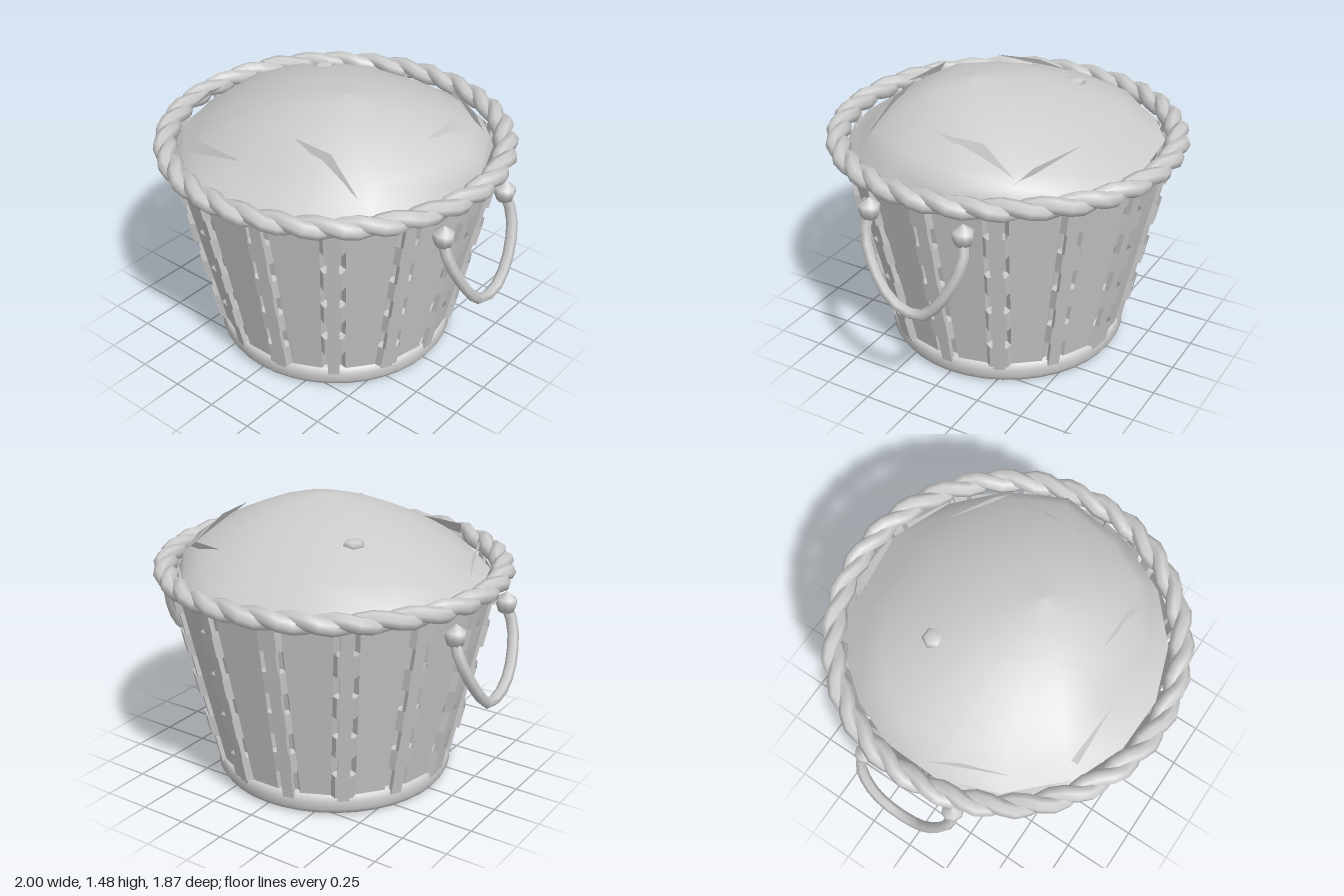
import * as THREE from 'three';

const V = (x, y, z) => new THREE.Vector3(x, y, z);
const STAKES = 14, ROWS = 8, ROW_BOTTOM = 0.14, ROW_HEIGHT = 0.12;
// Radius of the flaring basket wall at a given height
const wallRadius = y => 0.622 + 0.215 * (y - 0.1);

// Surface through closed loops of points, listed from the top (or centre) outward and down
function loft(loops, flat) {
  const n = loops[0].length, index = [];
  for (let j = 0; j < loops.length - 1; j++) {
    for (let i = 0; i < n; i++) {
      const a = j * n + i, b = j * n + (i + 1) % n;
      index.push(a, b, a + n, b, b + n, a + n);
    }
  }
  let g = new THREE.BufferGeometry().setFromPoints(loops.flat());
  g.setIndex(index);
  if (flat) g = g.toNonIndexed();
  g.computeVertexNormals();
  return g;
}

// One strand of the twisted rim
class Strand extends THREE.Curve {
  constructor(phase) { super(); this.phase = phase; }
  getPoint(t, target = V(0, 0, 0)) {
    const a = t * Math.PI * 2, w = a * 15 + this.phase;
    const r = 0.873 + 0.025 * Math.cos(w);
    return target.set(r * Math.cos(a), 1.155 + 0.016 * Math.sin(w), r * Math.sin(a));
  }
}

export function createModel() {
  const model = new THREE.Group();
  model.name = 'basket';
  const grey = new THREE.MeshStandardMaterial({ color: 0xcccccc, side: THREE.DoubleSide });
  grey.name = 'plain grey';
  const add = (name, geometry, parent = model) => {
    const mesh = new THREE.Mesh(geometry, grey);
    mesh.name = name;
    parent.add(mesh);
    return mesh;
  };

  // Rounded foot with a flat underside and a floor
  const foot = [[0.595, 0], [0.62, 0.012], [0.637, 0.04], [0.636, 0.08], [0.628, 0.115], [0.58, 0.122]];
  add('footRing', new THREE.LatheGeometry(foot.map(p => new THREE.Vector2(...p)), 40));
  add('underside', new THREE.CircleGeometry(0.595, 40)).rotation.x = Math.PI / 2;
  const floor = add('floor', new THREE.CircleGeometry(0.6, 40));
  floor.rotation.x = -Math.PI / 2;
  floor.position.y = 0.12;

  // Upright stakes, leaning outward
  const y0 = 0.09, y1 = 1.14;
  const lean = Math.atan2(wallRadius(y1) - wallRadius(y0), y1 - y0);
  for (let k = 0; k < STAKES; k++) {
    const holder = new THREE.Group();
    holder.name = 'stakeHolder';
    holder.rotation.y = -k * Math.PI * 2 / STAKES;
    const stake = add('stake', new THREE.BoxGeometry(0.026, (y1 - y0) / Math.cos(lean), 0.06), holder);
    stake.position.set(wallRadius((y0 + y1) / 2) + 0.004, (y0 + y1) / 2, 0);
    stake.rotation.z = -lean;
    model.add(holder);
  }

  // Woven bands, passing over and under alternate stakes
  const bandLoop = (row, y) => {
    const pts = [], R = wallRadius(y);
    for (let k = 0; k < STAKES; k++) {
      const bulge = (k + row) % 2 === 1 ? 0.033 : -0.03;
      for (const [offset, out] of [[-0.062, 0], [-0.043, bulge], [0.043, bulge], [0.062, 0]]) {
        const a = k * Math.PI * 2 / STAKES + offset / R;
        pts.push(V((R + out) * Math.cos(a), y, (R + out) * Math.sin(a)));
      }
    }
    return pts;
  };
  for (let row = 0; row < ROWS; row++) {
    const low = ROW_BOTTOM + row * ROW_HEIGHT - (row ? 0 : 0.02);
    const high = ROW_BOTTOM + (row + 1) * ROW_HEIGHT;
    add('wovenBand', loft([bandLoop(row, high), bandLoop(row, low)], true));
  }

  // Rim of two fat twisted strands
  for (const phase of [0, Math.PI]) {
    add('rimStrand', new THREE.TubeGeometry(new Strand(phase), 90, 0.042, 7, true));
  }

  // Domed cloth: an irregular outline drawn up to an off-centre peak, tucked down to the wall
  const outline = [
    [0.79, -0.15], [0.74, 0.2], [0.6, 0.47], [0.36, 0.62], [0.1, 0.67], [-0.14, 0.66], [-0.38, 0.61],
    [-0.59, 0.36], [-0.69, 0.1], [-0.72, -0.16], [-0.64, -0.38], [-0.5, -0.52], [-0.28, -0.64],
    [0.12, -0.67], [0.4, -0.6], [0.64, -0.44]
  ];
  const peak = V(0.15, 0, 0.11);
  const profile = [[0, 1.48], [0.22, 1.458], [0.42, 1.425], [0.6, 1.375], [0.76, 1.32], [0.9, 1.262], [1, 1.21]];
  const clothLoops = profile.map(([t, y]) =>
    outline.map(([x, z]) => V(x, 0, z).lerp(peak, 1 - t).setY(y)));
  clothLoops.push(outline.map(([x, z]) => V(x, 0, z).setLength(0.81).setY(1.13)));
  add('clothDome', loft(clothLoops));

  // Pointed folds standing out of the cloth
  const folds = [
    [V(0.13, 1.385, 0.47), V(0.35, 1.37, 0.46), V(0.55, 1.22, 0.5)],
    [V(0.6, 1.365, 0.04), V(0.58, 1.36, -0.2), V(0.63, 1.22, -0.42)],
    [V(-0.05, 1.27, 0.65), V(-0.4, 1.265, 0.63), V(-0.38, 1.2, 0.66)],
    [V(-0.62, 1.27, 0.44), V(-0.7, 1.26, 0.2), V(-0.77, 1.2, 0.05)],
    [V(0.3, 1.32, -0.57), V(0.55, 1.28, -0.45), V(0.68, 1.2, -0.38)]
  ];
  for (const corners of folds) {
    const g = new THREE.BufferGeometry().setFromPoints(corners);
    g.computeVertexNormals();
    add('clothFold', g);
  }
  const bump = add('clothBump', new THREE.SphereGeometry(0.06, 6, 4));
  bump.scale.y = 0.4;
  bump.position.set(-0.28, 1.365, -0.24);

  // Hanging side handles with knobs; the left and right ones droop slightly differently
  for (const [side, bottom] of [[1, 0.585], [-1, 0.63]]) {
    const handle = new THREE.Group();
    handle.name = side > 0 ? 'leftHandle' : 'rightHandle';
    const shape = [[0.262, 0], [0.27, 0.2], [0.245, 0.4], [0.15, 0.77], [0.055, 0.97], [-0.075, 1],
      [-0.18, 0.77], [-0.265, 0.4], [-0.28, 0.2], [-0.262, 0]];
    const path = new THREE.CatmullRomCurve3(shape.map(([z, d]) =>
      V(side * (0.87 + 0.1 * Math.sin(d * Math.PI / 2)), 1.02 - d * (1.02 - bottom), z)));
    add('handleLoop', new THREE.TubeGeometry(path, 14, 0.029, 6), handle);
    for (const z of [0.262, -0.262]) {
      const knobProfile = [[0, -0.06], [0.04, -0.045], [0.056, 0], [0.05, 0.025], [0, 0.062]];
      const knob = add('handleKnob', new THREE.LatheGeometry(
        knobProfile.map(p => new THREE.Vector2(...p)), 8), handle);
      knob.position.set(side * 0.872, 1.03, z);
    }
    model.add(handle);
  }
  return model;
}
